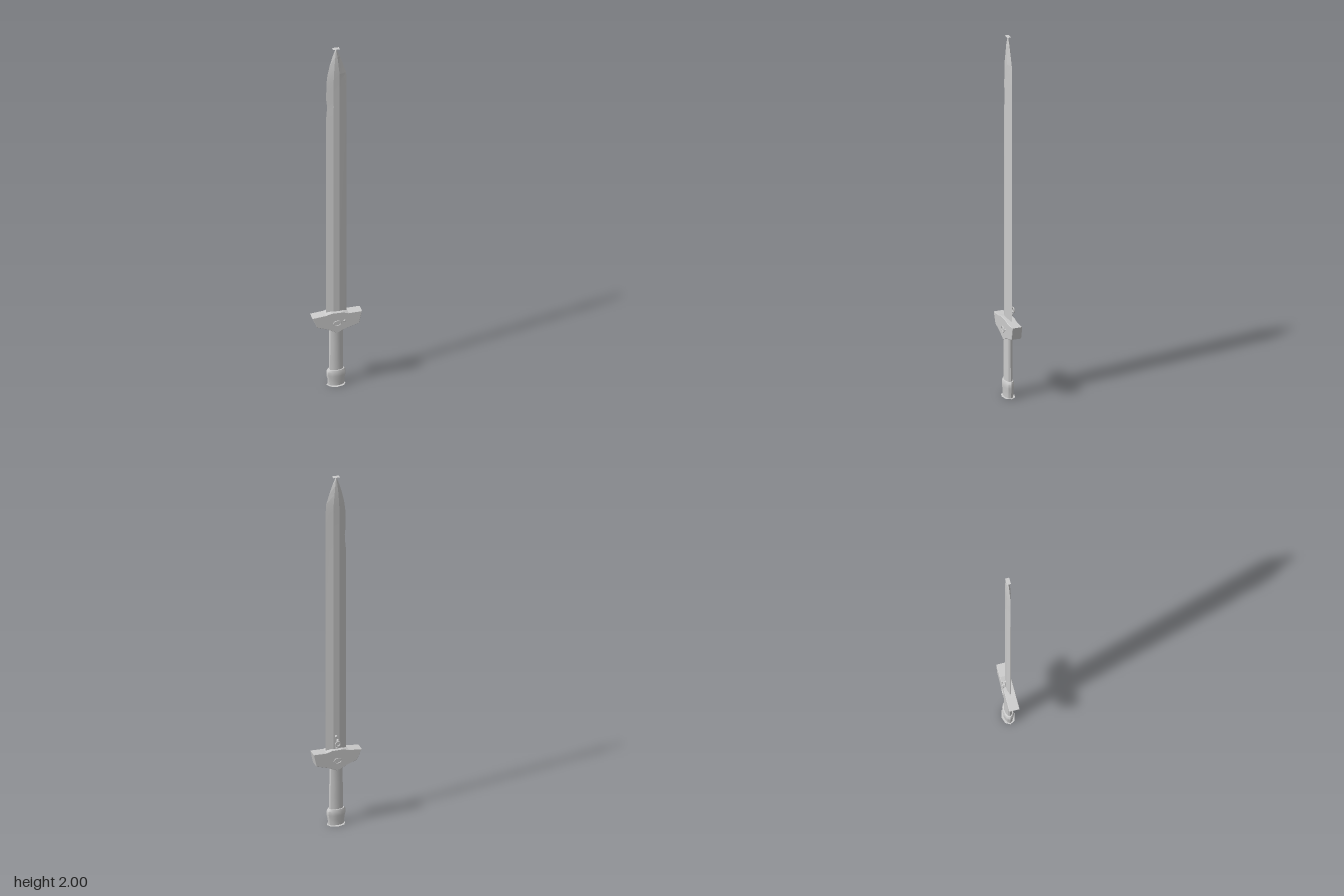
import * as THREE from 'three';
import { toCreasedNormals } from 'three/addons/utils/BufferGeometryUtils.js';

const steel = new THREE.MeshStandardMaterial({ color: 0xcccccc });
const thin = new THREE.MeshStandardMaterial({ color: 0xcccccc, side: THREE.DoubleSide });

// Six-sided blade section lofted through rows of [y, left edge, right edge, half depth]
function bladeGeometry(rows) {
  const pos = [], idx = [], n = 6;
  for (const [y, l, r, d] of rows) {
    const a = l * 0.3, b = r * 0.3;
    for (const [x, z] of [[r, 0], [b, d], [a, d], [l, 0], [a, -d], [b, -d]]) pos.push(x, y, z);
  }
  for (let i = 0; i < rows.length - 1; i++) {
    for (let j = 0; j < n; j++) {
      const a = i * n + j, b = i * n + (j + 1) % n;
      idx.push(a, a + n, b, b, a + n, b + n);
    }
  }
  const g = new THREE.BufferGeometry();
  g.setAttribute('position', new THREE.Float32BufferAttribute(pos, 3));
  g.setIndex(idx);
  return toCreasedNormals(g, 0.1);
}

// Turned part, flattened front to back
function turned(points, depth, sides) {
  const g = new THREE.LatheGeometry(points.map(p => new THREE.Vector2(...p)), sides);
  g.scale(1, 1, depth);
  return toCreasedNormals(g, 0.6);
}

export function createModel() {
  const model = new THREE.Group();
  const add = (name, geometry, x = 0, y = 0, z = 0, material = steel) => {
    const m = new THREE.Mesh(geometry, material);
    m.name = name;
    m.position.set(x, y, z);
    model.add(m);
    return m;
  };

  // Blade with a worn left edge and a curved point
  add('blade', bladeGeometry([
    [0.42, -0.053, 0.056, 0.011],
    [1.58, -0.053, 0.056, 0.010],
    [1.62, -0.049, 0.056, 0.010],
    [1.66, -0.047, 0.056, 0.010],
    [1.70, -0.052, 0.056, 0.010],
    [1.80, -0.050, 0.056, 0.010],
    [1.85, -0.044, 0.053, 0.011],
    [1.90, -0.033, 0.037, 0.010],
    [1.95, -0.019, 0.021, 0.008],
    [1.985, -0.006, 0.006, 0.004],
    [2.0, 0, 0, 0],
  ]));

  // Small flat cap lying at the point
  const cap = new THREE.PlaneGeometry(0.036, 0.022);
  cap.rotateX(-Math.PI / 2);
  add('tipPlate', cap, 0, 1.998, 0, thin);

  // Winged guard
  const outline = [[-0.13, 0.42], [-0.105, 0.362], [-0.05, 0.343], [0, 0.317], [0.05, 0.34],
    [0.115, 0.36], [0.13, 0.43], [0.06, 0.428], [0.03, 0.437], [-0.03, 0.437], [-0.06, 0.428]];
  const guard = new THREE.ExtrudeGeometry(
    new THREE.Shape(outline.map(p => new THREE.Vector2(...p))),
    { depth: 0.05, bevelThickness: 0.002, bevelSize: 0.002, bevelOffset: -0.002, bevelSegments: 1 });
  add('guard', guard, 0, 0, -0.025);

  // Oval mounts on both faces of the guard
  for (const side of [1, -1]) {
    const ring = new THREE.TorusGeometry(0.02, 0.003, 6, 16);
    ring.scale(1, 0.7, 1);
    add('guardMount', ring, 0, 0.375, side * 0.028);
  }
  const stud = new THREE.SphereGeometry(0.007, 8, 6);
  stud.scale(1, 0.7, 0.7);
  add('guardStud', stud, 0.038, 0.387, 0.029);

  // Grip
  add('grip', turned([[0.038, 0.07], [0.038, 0.16], [0.036, 0.25], [0.036, 0.34]], 0.52, 12));

  // Pommel, with a narrow top collar
  add('pommel', turned([[0, 0.002], [0.043, 0.002], [0.045, 0.035], [0.051, 0.058],
    [0.051, 0.08], [0.044, 0.091], [0.03, 0.093]], 0.54, 12));

  // Thin base plate
  const base = new THREE.RingGeometry(0.018, 0.05, 8);
  base.rotateX(-Math.PI / 2);
  base.scale(1, 1, 0.7);
  add('basePlate', base, 0, 0, 0, thin);

  // Little charm hanging at the back of the blade root
  const bead = new THREE.SphereGeometry(0.008, 8, 6);
  for (const [x, y, z] of [[0.003, 0.508, -0.012], [-0.003, 0.487, -0.019], [0.002, 0.45, -0.02]])
    add('charmBead', bead, x, y, z);
  add('charmRing', new THREE.TorusGeometry(0.013, 0.004, 6, 12), 0, 0.472, -0.029);

  return model;
}
